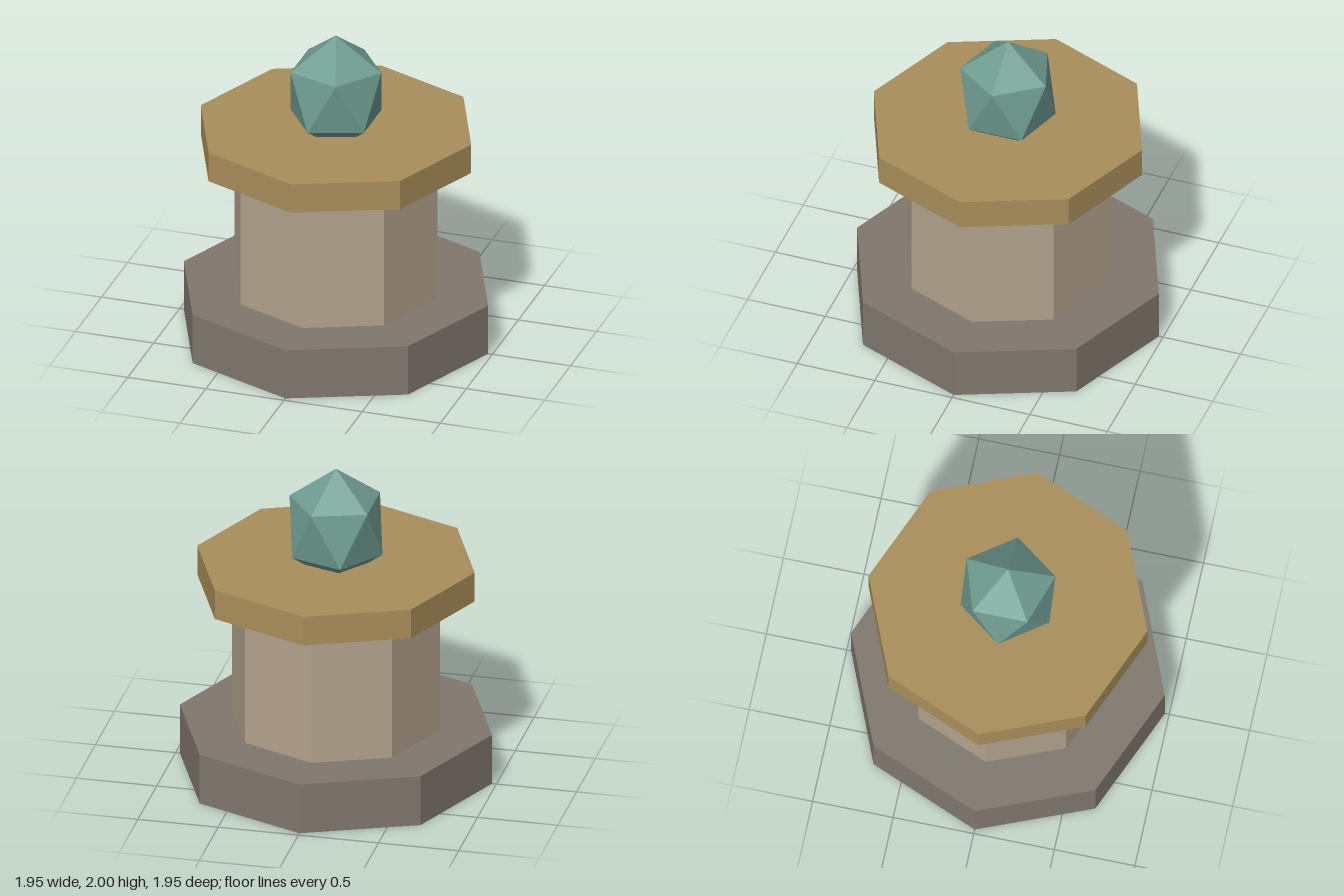
import * as THREE from 'three';

function material(name, color) {
  const m = new THREE.MeshStandardMaterial({ color, flatShading: true });
  m.name = name;
  return m;
}

export function createModel() {
  const model = new THREE.Group();
  model.name = 'crystalPedestal';

  const add = (name, geometry, mat, y) => {
    const mesh = new THREE.Mesh(geometry, mat);
    mesh.name = name;
    mesh.position.y = y;
    model.add(mesh);
  };

  // Octagonal slabs, corners on the x and z axes
  const slab = (name, radius, bottom, top, mat) =>
    add(name, new THREE.CylinderGeometry(radius, radius, top - bottom, 8), mat, (bottom + top) / 2);

  slab('base', 0.973, 0, 0.325, material('darkStone', 0x80786e));
  slab('column', 0.648, 0.325, 1.205, material('paleStone', 0xb3a28d));
  slab('cap', 0.865, 1.205, 1.396, material('bronze', 0xa98e5a));

  // Stretched icosahedron, one corner straight up, its tip sunk into the cap
  const gem = new THREE.IcosahedronGeometry(0.324, 0);
  gem.rotateZ(-Math.atan(2 / (1 + Math.sqrt(5))));
  gem.scale(1, 1.16, 1);
  add('crystal', gem, material('teal', 0x6f9c92), 1.624);

  return model;
}
